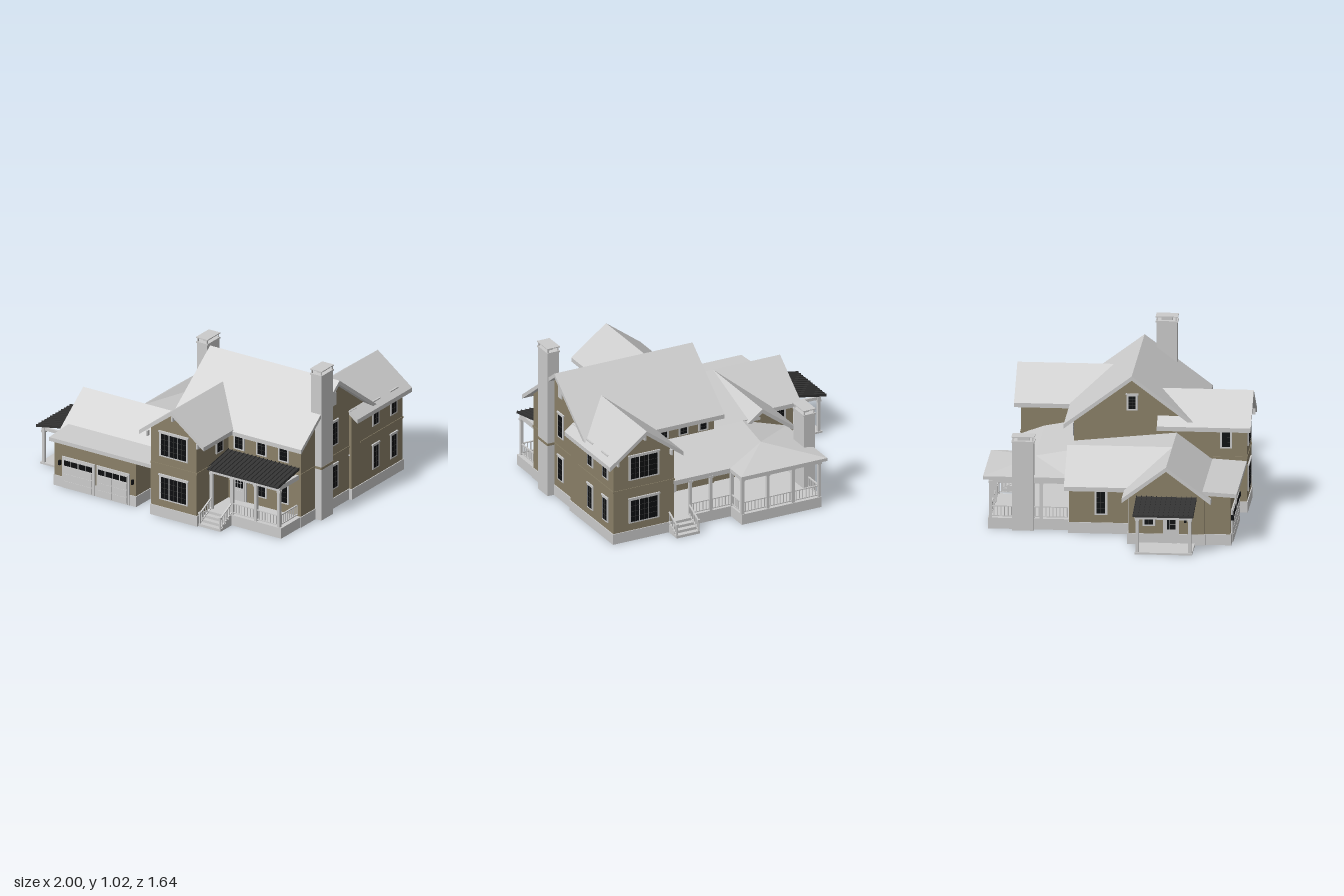
import * as THREE from 'three';

const mat = (color) => new THREE.MeshStandardMaterial({ color, side: THREE.DoubleSide });
const GREY = mat(0xcccccc), WALL = mat(0x8a8068), DARK = mat(0x333333), GLASS = mat(0x0c0e10), BAR = mat(0x3c3c3c);
const SLOPE = 0.75;

export function createModel() {
  const model = new THREE.Group();
  model.name = 'house';

  const add = (name, geo, m, parent = model) => {
    const mesh = new THREE.Mesh(geo, m);
    mesh.name = name;
    parent.add(mesh);
    return mesh;
  };
  // Box given by its minimum and maximum corners
  const box = (name, x0, x1, y0, y1, z0, z1, m = GREY, parent = model) => {
    const b = add(name, new THREE.BoxGeometry(x1 - x0, y1 - y0, z1 - z0), m, parent);
    b.position.set((x0 + x1) / 2, (y0 + y1) / 2, (z0 + z1) / 2);
    return b;
  };
  // Profile extruded along x or z, centred on c
  const prism = (name, pts, axis, a0, a1, c, m) => {
    const shape = new THREE.Shape(pts.map((p) => new THREE.Vector2(...p)));
    const p = add(name, new THREE.ExtrudeGeometry(shape, { depth: a1 - a0, bevelEnabled: false }), m);
    if (axis === 'x') { p.rotation.y = Math.PI / 2; p.position.set(a0, 0, c); }
    else p.position.set(c, 0, a0);
  };
  // Gabled block: walls, stone base, roof chevron
  const gabled = (name, axis, [w0, w1], [r0, r1], c, halfWall, halfRoof, ridge) => {
    const top = ridge - 0.02, t = 0.028, ry = ridge - halfRoof * SLOPE, hw = halfWall;
    prism(name + 'Walls', [[-hw, 0], [hw, 0], [hw, top - hw * SLOPE], [0, top], [-hw, top - hw * SLOPE]], axis, w0, w1, c, WALL);
    prism(name + 'Roof', [[-halfRoof, ry], [-halfRoof, ry - t], [0, ridge - t], [halfRoof, ry - t], [halfRoof, ry], [0, ridge]], axis, r0, r1, c, GREY);
    const e = 0.006, s = hw + e;
    if (axis === 'x') box(name + 'Foundation', w0 - e, w1 + e, 0, 0.07, c - s, c + s);
    else box(name + 'Foundation', c - s, c + s, 0, 0.07, w0 - e, w1 + e);
  };
  // Sloped slab from a convex outline of its top corners
  const slab = (name, pts, m = GREY, t = 0.02) => {
    const pos = [], n = pts.length, low = pts.map(([x, y, z]) => [x, y - t, z]);
    for (let i = 1; i < n - 1; i++) {
      pos.push(...pts[0], ...pts[i], ...pts[i + 1]);
      pos.push(...low[0], ...low[i + 1], ...low[i]);
    }
    for (let i = 0; i < n; i++) {
      const j = (i + 1) % n;
      pos.push(...pts[i], ...low[i], ...low[j], ...pts[i], ...low[j], ...pts[j]);
    }
    const g = new THREE.BufferGeometry();
    g.setAttribute('position', new THREE.Float32BufferAttribute(pos, 3));
    g.computeVertexNormals();
    add(name, g, m);
  };
  const TURN = { front: 0, right: Math.PI / 2, back: Math.PI, left: -Math.PI / 2 };
  const mount = (name, side, x, y, z) => {
    const g = new THREE.Group();
    g.name = name;
    g.position.set(x, y, z);
    g.rotation.y = TURN[side];
    model.add(g);
    return g;
  };
  // Window standing on sill height y; panes side by side
  const win = (side, x, y, z, w = 0.06, h = 0.14, panes = 1) => {
    const g = mount('window', side, x, y, z), f = 0.01, pw = w / panes;
    box('frame', -w / 2 - f, w / 2 + f, -f, h + f, -0.01, 0.006, GREY, g);
    box('lintel', -w / 2 - f * 1.5, w / 2 + f * 1.5, h + f, h + f * 1.9, -0.01, 0.01, GREY, g);
    for (let i = 0; i < panes; i++) {
      const x0 = -w / 2 + i * pw;
      box('glass', x0 + 0.003, x0 + pw - 0.003, 0, h, 0, 0.0075, GLASS, g);
      box('muntin', x0 + pw / 2 - 0.001, x0 + pw / 2 + 0.001, 0, h, 0, 0.0085, BAR, g);
      for (const k of [0.25, 0.5, 0.75]) box('muntin', x0 + 0.003, x0 + pw - 0.003, h * k - 0.001, h * k + 0.001, 0, 0.0085, BAR, g);
    }
  };
  const door = (side, x, y, z) => {
    const g = mount('door', side, x, y, z);
    box('frame', -0.05, 0.05, 0, 0.22, -0.01, 0.006, GREY, g);
    box('leaf', -0.037, 0.037, 0, 0.2, 0, 0.01, GREY, g);
    box('glass', -0.027, 0.027, 0.09, 0.185, 0, 0.012, GLASS, g);
    box('panel', -0.025, 0.025, 0.02, 0.07, 0, 0.013, GREY, g);
    for (const k of [-0.009, 0.009]) box('muntin', k - 0.001, k + 0.001, 0.09, 0.185, 0, 0.0135, GREY, g);
    for (const k of [0.122, 0.154]) box('muntin', -0.027, 0.027, k - 0.001, k + 0.001, 0, 0.0135, GREY, g);
  };
  const lantern = (side, x, y, z) => box('lantern', -0.007, 0.007, 0, 0.03, 0, 0.018, GLASS, mount('wallLantern', side, x, y, z));
  // Railing between two points [x, y, z]; balusters stay upright on slopes
  const rail = (a, b, h = 0.075) => {
    const [dx, dy, dz] = b.map((v, i) => v - a[i]), len = Math.hypot(dx, dz);
    const g = new THREE.Group();
    g.name = 'railing';
    g.position.set(...a);
    g.rotation.y = Math.atan2(-dz, dx);
    model.add(g);
    for (const y of [0.012, h]) {
      const r = add('rail', new THREE.BoxGeometry(Math.hypot(len, dy), 0.006, 0.01), GREY, g);
      r.position.set(len / 2, dy / 2 + y, 0);
      r.rotation.z = Math.atan2(dy, len);
    }
    const n = Math.max(2, Math.round(len / 0.022));
    for (let i = 0; i <= n; i++) {
      const x = (len * i) / n, y = (dy * i) / n;
      box('baluster', x - 0.0025, x + 0.0025, y + 0.01, y + h, -0.0025, 0.0025, GREY, g);
    }
  };
  const post = (x, z, y0, y1, r = 0.01) => {
    box('post', x - r, x + r, y0, y1, z - r, z + r);
    box('postCap', x - r - 0.003, x + r + 0.003, y1 - 0.015, y1, z - r - 0.003, z + r + 0.003);
  };
  // Steps descending from z0 in direction dir, with side rails
  const stairs = (x0, x1, z0, dir) => {
    for (let i = 0; i < 4; i++) {
      const z = z0 + dir * 0.033 * (i + 1);
      box('step', x0, x1, 0, 0.07 - i * 0.0175, Math.min(z0, z), Math.max(z0, z));
    }
    for (const x of [x0 + 0.006, x1 - 0.006]) {
      rail([x, 0.07, z0], [x, 0.01, z0 + dir * 0.125]);
      post(x, z0 + dir * 0.125, 0, 0.095, 0.005);
    }
  };
  const chimney = (x0, x1, z0, z1, h) => {
    box('chimneyShaft', x0, x1, 0, h - 0.035, z0, z1);
    box('chimneyCollar', x0 - 0.005, x1 + 0.005, h - 0.04, h - 0.03, z0 - 0.005, z1 + 0.005);
    for (const x of [x0 + 0.005, x1 - 0.005]) for (const z of [z0 + 0.005, z1 - 0.005]) box('capLeg', x - 0.004, x + 0.004, h - 0.03, h, z - 0.004, z + 0.004);
    box('flue', x0 + 0.025, x1 - 0.025, h - 0.035, h - 0.015, z0 + 0.03, z1 - 0.03);
    box('chimneyCap', x0 - 0.005, x1 + 0.005, h - 0.006, h, z0 - 0.005, z1 + 0.005);
  };

  // Main masses
  gabled('main', 'x', [0.04, 0.935], [0.0, 0.98], 0.07, 0.365, 0.428, 0.88);
  gabled('frontWing', 'z', [0.3, 0.79], [0.23, 0.82], 0.215, 0.172, 0.245, 0.75);
  gabled('backWing', 'z', [-0.67, -0.1], [-0.71, -0.1], 0.74, 0.215, 0.26, 0.75);
  gabled('garage', 'x', [-0.735, 0.1], [-0.77, 0.06], 0.35, 0.24, 0.28, 0.51);
  gabled('backGable', 'z', [-0.28, 0.3], [-0.31, 0.35], -0.295, 0.215, 0.265, 0.51);
  box('linkWalls', -0.25, 0.1, 0, 0.415, -0.28, 0.2, WALL);
  // Floor bands between storeys
  box('frontWingBand', 0.039, 0.391, 0.35, 0.362, 0.4, 0.794, WALL);
  box('backWingBand', 0.521, 0.959, 0.35, 0.362, -0.674, -0.2, WALL);
  box('mainBand', 0.3, 0.939, 0.35, 0.362, -0.299, 0.439, WALL);

  // Gable brackets and vents
  for (const [c, z, d] of [[0.215, 0.79, 1], [0.74, -0.67, -1]])
    for (const s of [-0.19, 0, 0.19]) {
      const y = 0.715 - Math.abs(s) * SLOPE, za = z + d * 0.025;
      box('gableBracket', c + s - 0.006, c + s + 0.006, y - 0.035, y, Math.min(z, za), Math.max(z, za));
    }
  box('gableVent', 0.93, 0.941, 0.7, 0.785, 0.047, 0.093);

  // Garage bay and doors
  box('garageBayWalls', -0.715, -0.1, 0, 0.325, 0.45, 0.75, WALL);
  box('garageBayFoundation', -0.721, -0.094, 0, 0.07, 0.45, 0.756);
  slab('garageBayRoof', [[-0.73, 0.347, 0.575], [-0.73, 0.335, 0.79], [0.04, 0.335, 0.79], [0.04, 0.347, 0.575]], GREY, 0.025);
  for (const x of [-0.53, -0.27]) {
    const g = mount('garageDoor', 'front', x, 0, 0.75);
    box('frame', -0.124, 0.124, 0, 0.212, 0, 0.009, GREY, g);
    box('leaf', -0.112, 0.112, 0.002, 0.2, 0, 0.012, GREY, g);
    for (let i = 0; i < 4; i++) {
      const px = -0.082 + i * 0.0547;
      box('pane', px - 0.024, px + 0.024, 0.155, 0.19, 0, 0.014, GLASS, g);
      for (const y of [0.008, 0.057, 0.106]) box('panel', px - 0.023, px + 0.023, y, y + 0.042, 0, 0.0145, GREY, g);
    }
  }
  lantern('front', -0.67, 0.15, 0.75);
  lantern('front', -0.12, 0.15, 0.75);

  // Windows
  for (const y of [0.13, 0.425]) {
    win('front', 0.215, y, 0.79, 0.195, 0.145, 3);
    win('back', 0.74, y, -0.67, 0.195, 0.145, 3);
    for (const z of [0.065, -0.14]) win('right', 0.935, y + 0.01, z, 0.055, 0.145);
    for (const z of [-0.365, -0.565]) win('right', 0.955, y, z, 0.055, 0.145);
  }
  win('right', 0.387, 0.425, 0.54, 0.055, 0.13);
  win('left', 0.043, 0.425, 0.66, 0.055, 0.13);
  for (const x of [0.47, 0.64, 0.805]) win('front', x, 0.425, 0.435, 0.06, 0.12);
  for (const x of [0.64, 0.805]) win('front', x, 0.14, 0.435);
  for (const x of [0.12, 0.26, 0.4]) win('back', x, 0.46, -0.295, 0.05, 0.08);
  for (const x of [-0.02, 0.1]) win('back', x, 0.13, -0.295);
  win('front', -0.03, 0.16, 0.59, 0.055, 0.12);
  win('left', 0.04, 0.66, 0.07, 0.05, 0.08);
  win('left', -0.51, 0.13, -0.08);
  win('back', -0.64, 0.13, 0.11);
  win('left', -0.735, 0.13, 0.24);

  // Front porch
  box('frontPorchDeck', 0.385, 0.935, 0, 0.07, 0.43, 0.655);
  slab('frontPorchRoof', [[0.385, 0.4, 0.43], [0.385, 0.355, 0.675], [0.925, 0.355, 0.675], [0.925, 0.4, 0.43]], DARK, 0.012);
  for (let i = 0; i <= 18; i++) {
    const x = 0.387 + i * 0.0297;
    slab('roofSeam', [[x - 0.002, 0.406, 0.43], [x - 0.002, 0.361, 0.675], [x + 0.002, 0.361, 0.675], [x + 0.002, 0.406, 0.43]], DARK, 0.008);
  }
  box('frontPorchBeam', 0.39, 0.92, 0.315, 0.345, 0.63, 0.65);
  box('frontPorchSideBeam', 0.9, 0.92, 0.32, 0.352, 0.43, 0.65);
  for (const x of [0.4, 0.555, 0.735, 0.91]) post(x, 0.64, 0.07, 0.32);
  rail([0.56, 0.07, 0.64], [0.735, 0.07, 0.64]);
  rail([0.735, 0.07, 0.64], [0.91, 0.07, 0.64]);
  rail([0.91, 0.07, 0.64], [0.91, 0.07, 0.44]);
  stairs(0.395, 0.56, 0.65, 1);
  door('front', 0.475, 0.07, 0.435);
  lantern('front', 0.565, 0.21, 0.435);

  // Low link roof and hipped back porch roof
  slab('linkRoof', [[-0.295, 0.51, 0.35], [0.06, 0.51, 0.35], [0.06, 0.445, -0.28], [-0.295, 0.445, -0.28]]);
  slab('backPorchUpperRoof', [[-0.17, 0.445, -0.28], [0.53, 0.445, -0.28], [0.53, 0.4, -0.52], [-0.17, 0.4, -0.52]]);
  slab('backPorchEaveRoof', [[-0.17, 0.4, -0.52], [0.53, 0.4, -0.52], [0.53, 0.345, -0.675], [0.13, 0.345, -0.675]]);
  slab('porchHipRight', [[-0.17, 0.4, -0.52], [0.13, 0.345, -0.675], [0.13, 0.345, -0.825]]);
  slab('porchHipBack', [[-0.17, 0.4, -0.52], [0.13, 0.345, -0.825], [-0.48, 0.345, -0.825]]);
  slab('porchHipLeft', [[-0.17, 0.4, -0.52], [-0.48, 0.345, -0.825], [-0.48, 0.345, -0.28], [-0.17, 0.445, -0.28]]);

  // Back porch deck, posts and railings
  box('backPorchDeck', -0.455, 0.11, 0, 0.07, -0.795, -0.27);
  box('backEntryDeck', 0.1, 0.53, 0, 0.07, -0.65, -0.27);
  box('backPorchBeam', -0.455, 0.11, 0.3, 0.328, -0.79, -0.77);
  box('backPorchLeftBeam', -0.455, -0.435, 0.3, 0.328, -0.79, -0.28);
  box('backPorchRightBeam', 0.09, 0.11, 0.3, 0.328, -0.79, -0.63);
  box('backEntryBeam', 0.1, 0.53, 0.3, 0.33, -0.65, -0.63);
  const backX = [-0.445, -0.26, -0.08, 0.1];
  backX.forEach((x, i) => {
    post(x, -0.78, 0.07, 0.31);
    if (i) rail([backX[i - 1], 0.07, -0.78], [x, 0.07, -0.78]);
  });
  for (const [x, z] of [[0.1, -0.64], [0.25, -0.64], [0.395, -0.64], [-0.445, -0.46]]) post(x, z, 0.07, 0.31);
  rail([0.1, 0.07, -0.78], [0.1, 0.07, -0.64]);
  rail([0.1, 0.07, -0.64], [0.395, 0.07, -0.64]);
  rail([-0.445, 0.07, -0.78], [-0.445, 0.07, -0.3]);
  stairs(0.4, 0.565, -0.65, -1);
  door('back', 0.36, 0.07, -0.295);
  door('back', -0.25, 0.07, -0.28);
  lantern('back', 0.45, 0.21, -0.295);

  // Side canopy over a slab
  box('sidePatio', -0.975, -0.73, 0, 0.012, 0.17, 0.53);
  slab('sideCanopyRoof', [[-1, 0.26, 0.16], [-1, 0.26, 0.54], [-0.73, 0.31, 0.54], [-0.73, 0.31, 0.16]], DARK, 0.012);
  for (let i = 0; i <= 12; i++) {
    const z = 0.162 + i * 0.0313;
    slab('canopySeam', [[-1, 0.266, z - 0.002], [-1, 0.266, z + 0.002], [-0.73, 0.316, z + 0.002], [-0.73, 0.316, z - 0.002]], DARK, 0.008);
  }
  box('canopyBeam', -0.965, -0.945, 0.225, 0.25, 0.17, 0.53);
  for (const z of [0.185, 0.515]) {
    post(-0.955, z, 0, 0.23);
    box('canopySideBeam', -0.965, -0.735, 0.23, 0.25, z - 0.008, z + 0.008);
  }
  door('left', -0.735, 0.012, 0.38);
  lantern('left', -0.741, 0.15, 0.47);

  // Chimneys
  chimney(0.905, 0.985, 0.15, 0.28, 1.02);
  box('chimneyBand', 0.9, 0.988, 0.347, 0.363, 0.148, 0.282, WALL);
  chimney(-0.49, -0.412, -0.64, -0.505, 0.61);

  return model;
}
